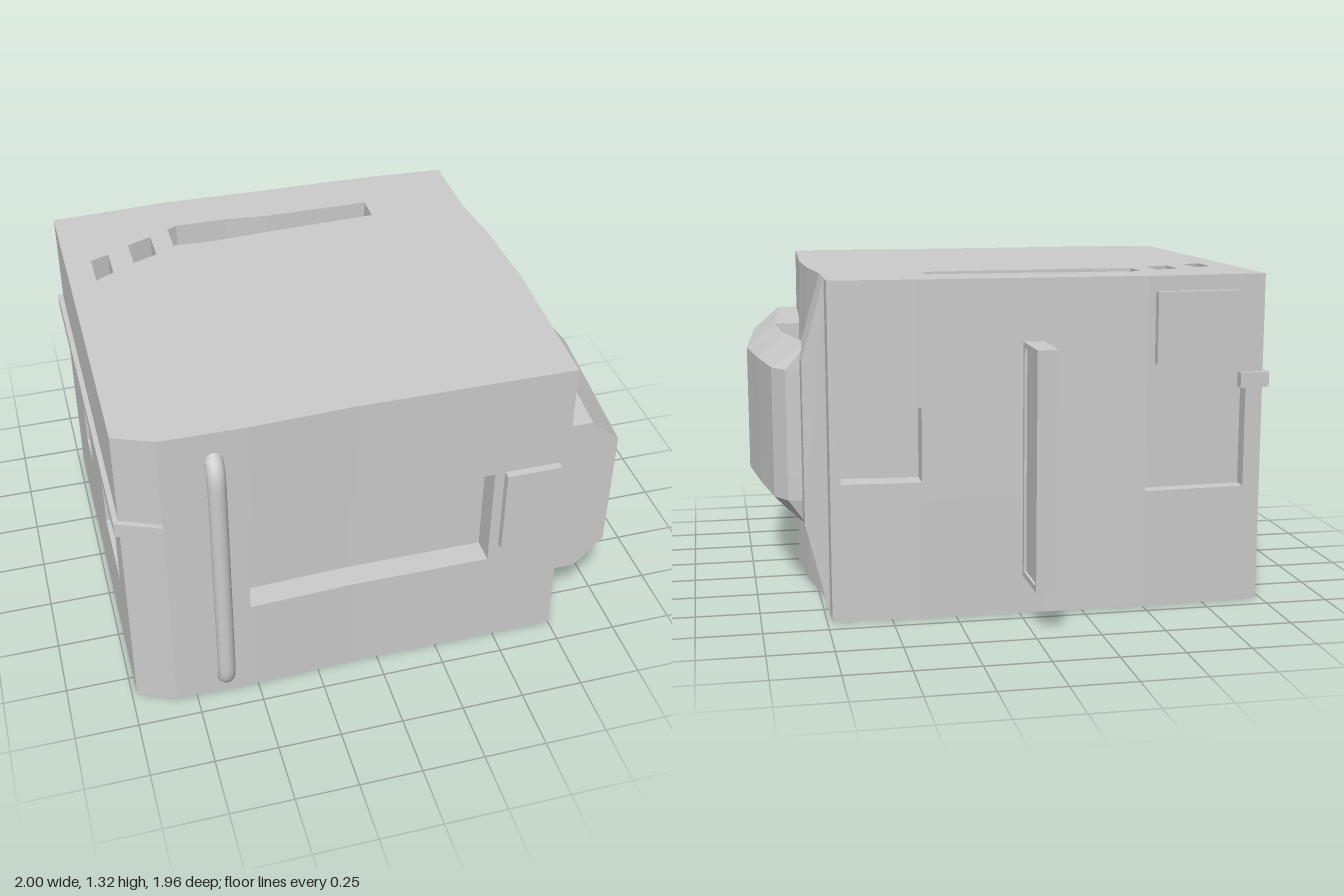
import * as THREE from 'three';

const H = 1.315;

// Right side leans in slightly towards the roof
const lean = (x, y) => (x > 0.735 ? x - ((x - 0.735) * 0.5 * y) / H : x);

const quad = (out, a, b, c, d) => out.push(...a, ...b, ...c, ...a, ...c, ...d);

// Point [x, z] on a polyline, found by its coordinate on one axis (0 = x, 1 = z)
function along(path, axis, u) {
  for (let i = 1; i < path.length; i++) {
    const a = path[i - 1], b = path[i];
    const t = (u - a[axis]) / (b[axis] - a[axis]);
    if (t >= -1e-6 && t <= 1 + 1e-6) return [a[0] + (b[0] - a[0]) * t, a[1] + (b[1] - a[1]) * t];
  }
  return path[path.length - 1];
}

// Wall running left to right as seen from outside, with recessed openings [u0, u1, y0, y1, depth]
function wall(out, path, axis, inward, yMin, yMax, openings, bend = (x) => x) {
  const dir = Math.sign(path[path.length - 1][axis] - path[0][axis]);
  const us = [...new Set([...path.map((p) => p[axis]), ...openings.flatMap((o) => [o[0], o[1]])])];
  us.sort((a, b) => (a - b) * dir);
  const ys = [...new Set([yMin, yMax, ...openings.flatMap((o) => [o[2], o[3]])])].sort((a, b) => a - b);
  const point = (u, y, depth = 0) => {
    const [x, z] = along(path, axis, u);
    return [bend(x, y) + inward[0] * depth, y, z + inward[1] * depth];
  };
  for (let i = 0; i + 1 < us.length; i++) {
    const u0 = us[i], u1 = us[i + 1], mid = (u0 + u1) / 2;
    for (let j = 0; j + 1 < ys.length; j++) {
      const y0 = ys[j], y1 = ys[j + 1], my = (y0 + y1) / 2;
      const o = openings.find((w) => (mid - w[0]) * (mid - w[1]) < 0 && my > w[2] && my < w[3]);
      const d = o ? o[4] : 0;
      quad(out, point(u0, y0, d), point(u1, y0, d), point(u1, y1, d), point(u0, y1, d));
      if (!o) continue;
      // Reveals around the opening
      if (y0 === o[2]) quad(out, point(u0, y0), point(u1, y0), point(u1, y0, d), point(u0, y0, d));
      if (y1 === o[3]) quad(out, point(u0, y1, d), point(u1, y1, d), point(u1, y1), point(u0, y1));
      if (u0 === o[0]) quad(out, point(u0, y0), point(u0, y0, d), point(u0, y1, d), point(u0, y1));
      if (u1 === o[1]) quad(out, point(u1, y0, d), point(u1, y0), point(u1, y1), point(u1, y1, d));
    }
  }
}

export function createModel() {
  const group = new THREE.Group();
  const mat = new THREE.MeshStandardMaterial({ color: 0xcccccc, flatShading: true, side: THREE.DoubleSide });
  const smooth = new THREE.MeshStandardMaterial({ color: 0xcccccc });

  const add = (name, geo, material = mat) => {
    const mesh = new THREE.Mesh(geo, material);
    mesh.name = name;
    group.add(mesh);
    return mesh;
  };
  const box = (name, x0, x1, y0, y1, z0, z1) =>
    add(name, new THREE.BoxGeometry(x1 - x0, y1 - y0, z1 - z0)
      .translate((x0 + x1) / 2, (y0 + y1) / 2, (z0 + z1) / 2));
  const fromQuads = (name, positions) => {
    const geo = new THREE.BufferGeometry();
    geo.setAttribute('position', new THREE.Float32BufferAttribute(positions, 3));
    geo.computeVertexNormals();
    return add(name, geo);
  };
  const shapeOf = (pts, s = 1) => new THREE.Shape(pts.map(([x, z]) => new THREE.Vector2(x, z * s)));
  const prism = (name, pts, y0, y1) =>
    add(name, new THREE.ExtrudeGeometry(shapeOf(pts, -1), { depth: y1 - y0, bevelEnabled: false })
      .rotateX(-Math.PI / 2).translate(0, y0, 0));

  // Outer walls with recessed windows and door
  const front = [[-0.98, 0.84], [-0.83, 0.905], [-0.5, 0.91], [-0.1, 0.895], [0.75, 0.9]];
  const right = [[0.75, 0.9], [0.8, 0.25], [0.78, -0.07], [0.73, -0.34], [0.73, -0.66]];
  const back = [[0.73, -0.66], [0.4, -0.68], [-0.1, -0.685], [-0.5, -0.695], [-0.98, -0.67]];
  const left = [[-0.98, -0.67], [-0.98, 0.84]];
  const walls = [];
  wall(walls, front, 0, [0, -1], 0, H, [[-0.52, 0.45, 0.435, 0.875, 0.1]], lean);
  wall(walls, right, 1, [-1, 0], 0, H, [], lean);
  wall(walls, back, 0, [0, 1], 0, H, [[0.69, 0.38, 0.54, 0.83, 0.1], [-0.5, -0.91, 0.47, 0.93, 0.06]], lean);
  wall(walls, left, 1, [1, 0], 0, H, [[-0.24, -0.08, 0.46, 0.87, 0.09], [0.28, 0.64, 0.44, 0.86, 0.1]], lean);
  fromQuads('walls', walls);

  // Roof and floor, pierced by three shafts
  const shafts = [
    [[-0.53, -0.47], [-0.49, -0.49], [-0.28, -0.49], [-0.1, -0.47], [0.33, -0.47],
      [0.33, -0.36], [-0.1, -0.345], [-0.38, -0.33], [-0.53, -0.34]],
    [[-0.71, -0.39], [-0.61, -0.43], [-0.61, -0.29], [-0.71, -0.25]],
    [[-0.875, -0.31], [-0.8, -0.34], [-0.8, -0.2], [-0.875, -0.16]],
  ];
  const outline = [front, right, back, left].flatMap((p) => p.slice(0, -1));
  for (const [name, y, s] of [['roof', H, -1], ['floor', 0, 1]]) {
    const shape = shapeOf(outline, s);
    shape.holes = shafts.map((pts) => shapeOf(pts, s));
    const geo = new THREE.ShapeGeometry(shape).rotateX((s * Math.PI) / 2).translate(0, y, 0);
    const pos = geo.attributes.position;
    for (let i = 0; i < pos.count; i++) pos.setX(i, lean(pos.getX(i), y));
    add(name, geo);
  }
  const shaftSides = [];
  for (const pts of shafts) {
    pts.forEach(([x, z], i) => {
      const [nx, nz] = pts[(i + 1) % pts.length];
      quad(shaftSides, [x, 0, z], [nx, 0, nz], [nx, H, nz], [x, H, z]);
    });
  }
  fromQuads('shaftWalls', shaftSides);

  // Projecting side bay: stations of [z, outer x, inner x]
  const stations = [[0.9, 0.945, 0.83], [0.25, 1, 0.88], [-0.07, 0.965, 0.86],
    [-0.34, 0.925, 0.8], [-0.42, 0.875, 0.79], [-0.44, 0.81, 0.79]];
  const bay = [];
  wall(bay, stations.map(([z, o]) => [o, z]), 1, [-1, 0], 0.43, 0.95, [[0.73, 0.31, 0.53, 0.85, 0.08]]);
  for (let i = 0; i + 1 < stations.length; i++) {
    const [z0, o0, n0] = stations[i], [z1, o1, n1] = stations[i + 1];
    quad(bay, [o0, 0.95, z0], [o1, 0.95, z1], [n1, 1.05, z1], [n0, 1.05, z0]);
    quad(bay, [n0, 0.31, z0], [n1, 0.31, z1], [o1, 0.43, z1], [o0, 0.43, z0]);
    quad(bay, [n1, 0.31, z1], [n0, 0.31, z0], [n0, 1.05, z0], [n1, 1.05, z1]);
  }
  const [zf, of, nf] = stations[0], [ze, oe, ne] = stations[stations.length - 1];
  quad(bay, [nf, 0.31, zf], [of, 0.43, zf], [of, 0.95, zf], [nf, 1.05, zf]);
  quad(bay, [oe, 0.43, ze], [ne, 0.31, ze], [ne, 1.05, ze], [oe, 0.95, ze]);
  fromQuads('sideBay', bay);
  prism('bayInfill', [[0.74, 0.9], [0.83, 0.9], [0.88, 0.25], [0.76, 0.25]], 0.31, 1.05);

  // Tapered pier behind the bay
  const pier = new THREE.Shape([[0.71, 0], [0.73, 0], [0.82, 0.36], [0.82, 1], [0.73, H], [0.71, H]]
    .map(([x, y]) => new THREE.Vector2(x, y)));
  add('pier', new THREE.ExtrudeGeometry(pier, { depth: 0.21, bevelEnabled: false }).translate(0, 0, -0.55));

  // Ledge wrapping the left wall
  prism('ledge', [[-0.83, 0.925], [-1, 0.855], [-1, -0.69], [-0.88, -0.7],
    [-0.88, -0.66], [-0.96, -0.65], [-0.96, 0.82], [-0.83, 0.89]], 0.87, 0.93);

  // Upright rail on the front
  const rail = new THREE.CatmullRomCurve3([[0.07, 0.885], [0.16, 0.938], [1.11, 0.938], [1.2, 0.885]]
    .map(([y, z]) => new THREE.Vector3(-0.63, y, z)), false, 'catmullrom', 0.2);
  add('frontRail', new THREE.TubeGeometry(rail, 48, 0.035, 16), smooth);
  for (const y of [0.075, 1.195]) {
    add('railEnd', new THREE.SphereGeometry(0.035, 16, 10).translate(-0.63, y, 0.89), smooth);
  }

  // Blank plates on the front and back
  box('frontPlate', 0.49, 0.71, 0.51, 0.88, 0.88, 0.93);
  const plate = box('backPlate', -0.17, 0.17, -0.14, 0.14, -0.025, 0.025);
  plate.position.set(-0.7, 1.115, -0.692);
  plate.rotation.y = 0.05;

  // Hanging board with a raised rim, on three brackets
  box('boardPanel', -0.07, -0.01, 0.18, 1.07, -0.97, -0.75);
  for (const z of [-0.98, -0.762]) box('boardSideRim', -0.08, 0, 0.17, 1.08, z, z + 0.022);
  for (const y of [0.17, 1.058]) box('boardEndRim', -0.08, 0, y, y + 0.022, -0.958, -0.762);
  for (const y of [0.53, 0.715, 0.9]) box('boardBracket', -0.06, -0.025, y - 0.017, y + 0.017, -0.75, -0.67);

  return group;
}
